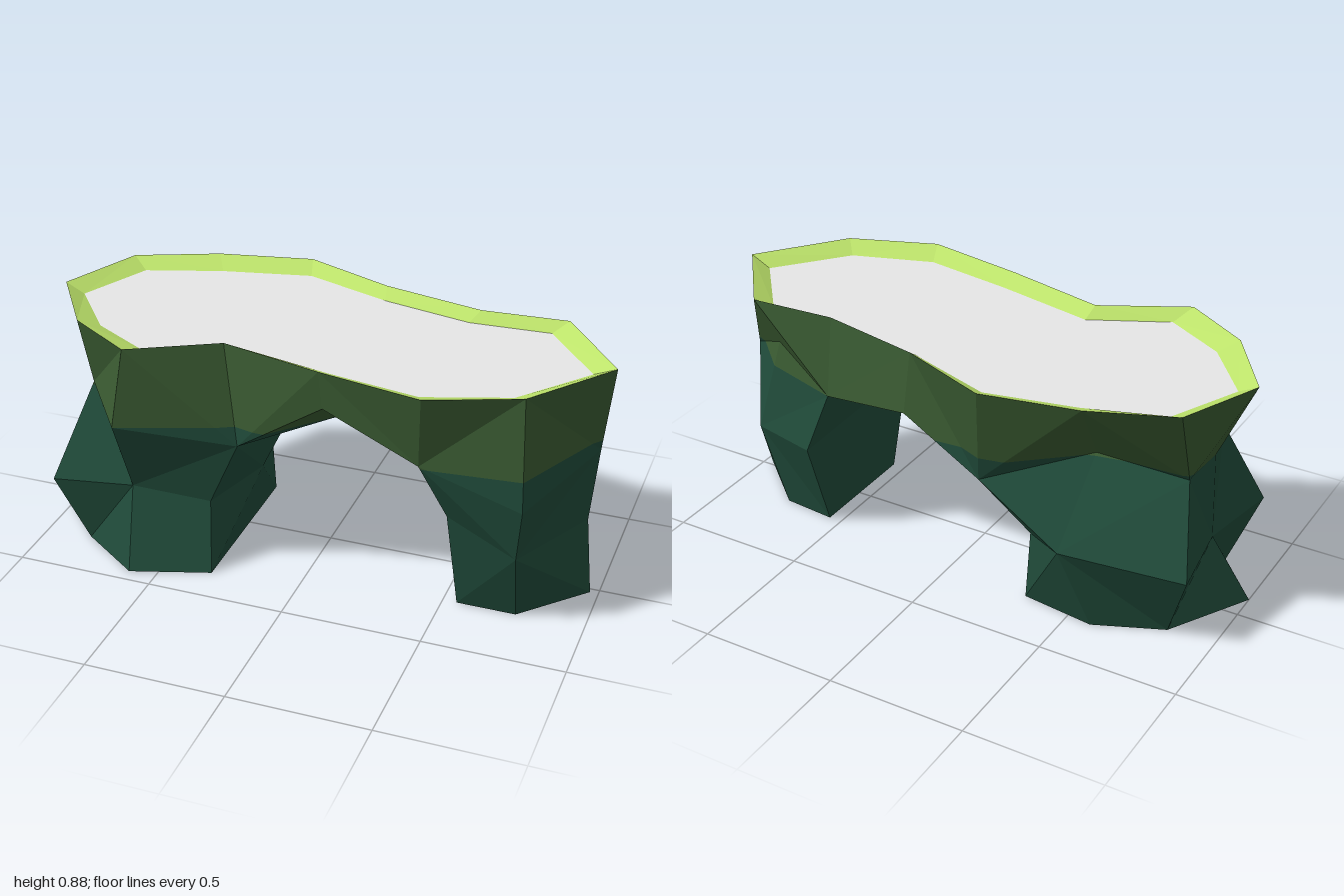
import * as THREE from 'three';

const BAND = 0.59; // height where the dark rock changes to mossy rock

const mat = (name, color) => {
  const m = new THREE.MeshStandardMaterial({ color });
  m.name = name;
  return m;
};

// Flat-shaded mesh from a list of triangles
function facetMesh(name, tris, material) {
  const g = new THREE.BufferGeometry();
  g.setAttribute('position', new THREE.Float32BufferAttribute(tris.flat(2), 3));
  g.computeVertexNormals();
  const mesh = new THREE.Mesh(g, material);
  mesh.name = name;
  return mesh;
}

// Keep the part of each triangle above (side 1) or below (side -1) the band
function cut(tris, side) {
  const out = [];
  for (const t of tris) {
    const poly = [];
    t.forEach((a, i) => {
      const b = t[(i + 1) % 3];
      const da = (a[1] - BAND) * side, db = (b[1] - BAND) * side;
      if (da >= 0) poly.push(a);
      if (da * db < 0) poly.push(a.map((v, k) => v + (b[k] - v) * da / (da - db)));
    });
    for (let i = 1; i + 1 < poly.length; i++) out.push([poly[0], poly[i], poly[i + 1]]);
  }
  return out;
}

// Wall between two matching closed rings; diagonals zigzag, phase picks which way they start
function wall(lower, upper, phase = 0) {
  return lower.flatMap((a, i) => {
    const j = (i + 1) % lower.length;
    const b = lower[j], c = upper[j], d = upper[i];
    return (i + phase) % 2 ? [[a, b, c], [a, c, d]] : [[a, b, d], [b, c, d]];
  });
}

// Fan around a centre, facing up or down
function fan(center, ring, up) {
  return ring.map((p, i) => {
    const q = ring[(i + 1) % ring.length];
    return up ? [center, p, q] : [center, q, p];
  });
}

export function createModel() {
  const darkRock = mat('dark teal rock', 0x204b3a);
  const mossRock = mat('moss green rock', 0x3a5b32);
  const rimGreen = mat('light green rim', 0xbce26a);
  const plateGrey = mat('pale grey top', 0xe6e6e6);
  // The legs are hollow and open at the foot
  darkRock.side = mossRock.side = THREE.DoubleSide;

  // Outlines run counter-clockwise seen from above, starting at -x
  const top = [[-1, .02], [-.82, .29], [-.58, .44], [-.28, .28], [.09, .37], [.46, .44], [.77, .32],
    [1, .02], [.77, -.28], [.46, -.26], [.09, -.34], [-.24, -.47], [-.58, -.40], [-.87, -.28]]
    .map(([x, z]) => [x, .88, z]);
  const inner = [[-.93, .02], [-.76, .235], [-.54, .36], [-.27, .225], [.1, .305], [.43, .36], [.72, .26],
    [.92, .015], [.72, -.235], [.43, -.22], [.1, -.29], [-.22, -.4], [-.54, -.33], [-.81, -.24]]
    .map(([x, z]) => [x, .845, z]);
  const waist = [[-.87, .59, .02], [-.82, .6, .2], [-.62, .59, .47], [-.22, .52, .33], [.1, .74, .36],
    [.44, .6, .38], [.79, .48, .36], [.96, .55, -.02], [.73, .69, -.2], [.46, .59, -.3],
    [.1, .66, -.37], [-.19, .49, -.37], [-.53, .6, -.18], [-.85, .57, -.14]];
  // Underside corners beside each leg
  const wideSpring = [-.205, .505, -.02];
  const narrowSpring = [.37, .51, 0];
  const pick = (...ids) => ids.map(i => waist[i]);

  // Each leg: waist ring, knee ring, foot ring
  const wideLeg = [
    [...pick(0, 1, 2, 3), wideSpring, ...pick(11, 12, 13)],
    [[-.88, .27, .02], [-.93, .26, .35], [-.62, .29, .34], [-.34, .26, .3],
      [-.245, .28, .04], [-.33, .26, -.26], [-.5, .31, -.39], [-.93, .28, -.3]],
    [[-1, 0, .1], [-.83, 0, .29], [-.6, 0, .45], [-.32, 0, .36],
      [-.32, 0, .04], [-.32, 0, -.27], [-.59, 0, -.305], [-.83, 0, -.2]],
  ];
  const narrowLeg = [
    [...pick(5, 6, 7, 8, 9), narrowSpring],
    [[.52, .38, .3], [.77, .28, .33], [.935, .27, -.02], [.82, .33, -.23], [.54, .36, -.33], [.51, .4, 0]],
    [[.55, 0, .24], [.76, 0, .24], [.97, 0, .02], [.75, 0, -.18], [.55, 0, -.2], [.55, 0, 0]],
  ];

  const group = new THREE.Group();
  group.name = 'rockArch';

  // Rock parts, each split into its two colours at the band
  const addRock = (name, tris) => {
    for (const [side, label, m] of [[1, 'Moss', mossRock], [-1, 'Dark', darkRock]]) {
      const part = cut(tris, side);
      if (part.length) group.add(facetMesh(name + label, part, m));
    }
  };
  addRock('bridge', wall(waist, top));
  const soffit = [...pick(3, 4, 5), narrowSpring, ...pick(9, 10, 11), wideSpring];
  addRock('archUnderside', fan([.1, .59, .1], soffit, false));
  for (const [name, [hip, knee, foot], phase] of [['wideLeg', wideLeg, 1], ['narrowLeg', narrowLeg, 0]]) {
    addRock(name, [...wall(knee, hip, phase), ...wall(foot, knee, 1 - phase)]);
  }

  // Rim sloping in to the flat top
  group.add(facetMesh('rim', wall(top, inner), rimGreen));
  group.add(facetMesh('topPlate', fan([0, .845, 0], inner, true), plateGrey));
  return group;
}
